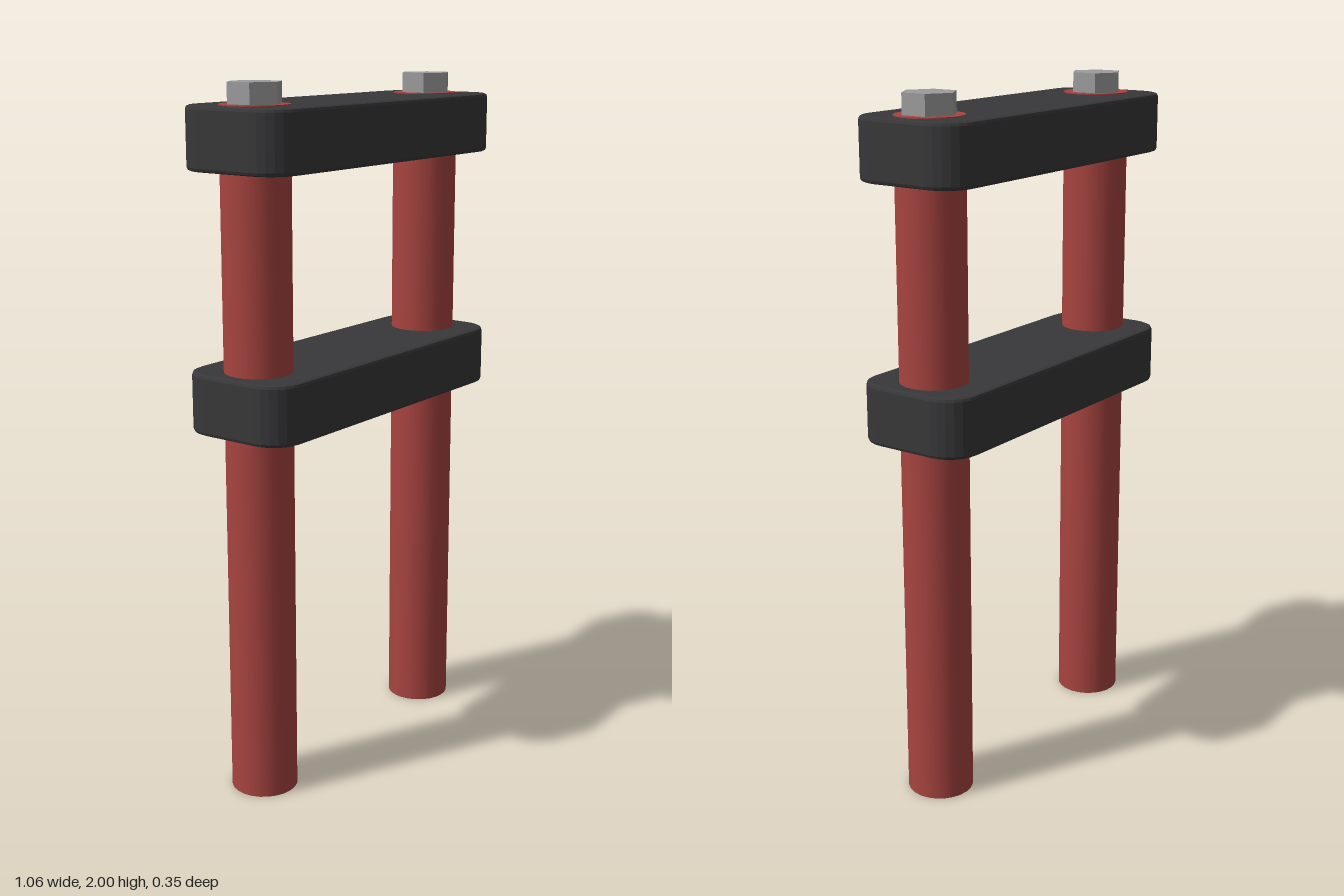
import * as THREE from 'three';

const RED = new THREE.MeshStandardMaterial({ color: 0xa84440 });
const BLACK = new THREE.MeshStandardMaterial({ color: 0x38383a });
const STEEL = new THREE.MeshStandardMaterial({ color: 0x9c9c9e, flatShading: true });

// Rounded rectangle outline, half sizes w and d, corner radius r
function roundedRect(w, d, r) {
  const s = new THREE.Shape();
  s.absarc(w - r, d - r, r, 0, Math.PI / 2);
  s.absarc(r - w, d - r, r, Math.PI / 2, Math.PI);
  s.absarc(r - w, r - d, r, Math.PI, Math.PI * 1.5);
  s.absarc(w - r, r - d, r, Math.PI * 1.5, Math.PI * 2);
  s.closePath();
  return s;
}

// Clamp plate with slightly bevelled rims, standing on y = 0
function plateGeometry(height, bevel) {
  const geo = new THREE.ExtrudeGeometry(roundedRect(0.53 - bevel, 0.176 - bevel, 0.09 - bevel), {
    depth: height - 2 * bevel, curveSegments: 3,
    bevelEnabled: true, bevelSize: bevel, bevelThickness: bevel, bevelSegments: 2,
  });
  return geo.rotateX(-Math.PI / 2).translate(0, bevel, 0);
}

export function createModel() {
  const group = new THREE.Group();
  const add = (name, geo, mat, x, y) => {
    const mesh = new THREE.Mesh(geo, mat);
    mesh.name = name;
    mesh.position.set(x, y, 0);
    group.add(mesh);
  };

  // Upper and lower clamps
  const plate = plateGeometry(0.17, 0.01);
  add('upperClamp', plate, BLACK, 0, 1.77);
  add('lowerClamp', plate, BLACK, 0, 1.06);

  // Fork tubes through both clamps, each capped with a hex bolt
  const tube = new THREE.CylinderGeometry(0.095, 0.095, 1.943, 24);
  const bolt = new THREE.CylinderGeometry(0.076, 0.076, 0.06, 6);
  for (const [side, x] of [['left', 0.397], ['right', -0.4]]) {
    add(side + 'Tube', tube, RED, x, 1.943 / 2);
    add(side + 'Bolt', bolt, STEEL, x, 1.97);
  }
  return group;
}
